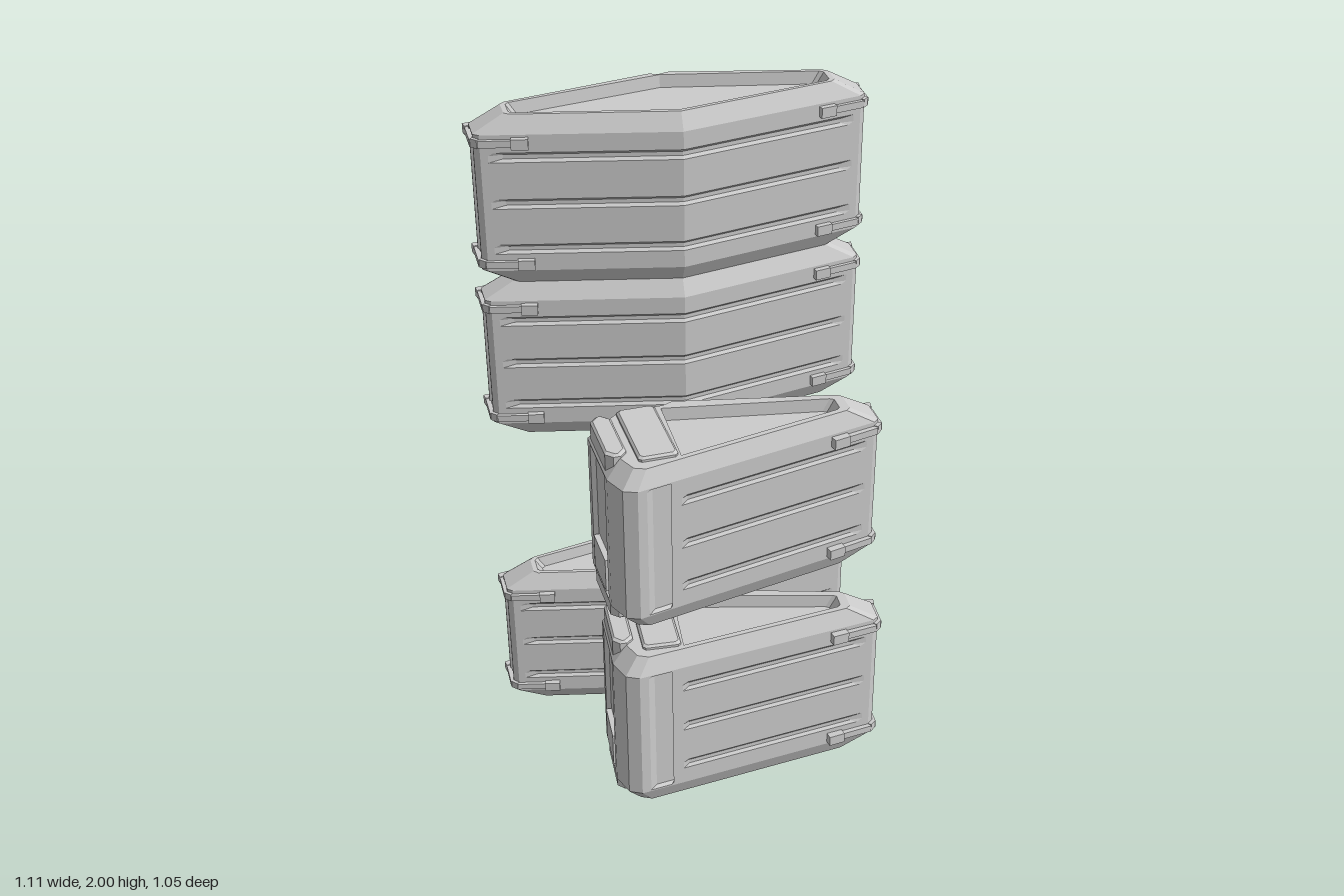
import * as THREE from 'three';

const material = new THREE.MeshStandardMaterial({ color: 0xcccccc, side: THREE.DoubleSide });
const HALF = 0.2475, SHOULDER = 0.2, RECESS = 0.035, CLIP_Y = 0.178;

function mesh(geometry, name) {
  const m = new THREE.Mesh(geometry, material);
  m.name = name;
  return m;
}

// Collects flat-shaded triangles from rings and caps of [x, y, z] points
function builder() {
  const pos = [];
  const tri = (a, b, c, flip) => pos.push(...a, ...(flip ? c : b), ...(flip ? b : c));
  return {
    loft(rings, flip = false) {
      for (let r = 0; r < rings.length - 1; r++) {
        const a = rings[r], b = rings[r + 1];
        a.forEach((p, i) => {
          const j = (i + 1) % a.length;
          tri(p, a[j], b[j], flip);
          tri(p, b[j], b[i], flip);
        });
      }
    },
    cap(ring, hole, flip = false) {
      const flat = (r) => r.map((p) => new THREE.Vector2(p[0], -p[2]));
      const all = hole ? [...ring, ...hole] : ring;
      for (const [i, j, k] of THREE.ShapeUtils.triangulateShape(flat(ring), hole ? [flat(hole)] : [])) {
        tri(all[i], all[j], all[k], flip);
      }
    },
    geometry() {
      const g = new THREE.BufferGeometry();
      g.setAttribute('position', new THREE.Float32BufferAttribute(pos, 3));
      g.computeVertexNormals();
      return g;
    },
  };
}

// Shell with chamfered ends, side grooves, sunk slots and recessed top and bottom.
// Outline points are [x, z, groove weight, slot depth], anticlockwise from above.
function shell(outline, recess, cx) {
  const b = builder();
  const ring = (y, s, g = 0, slot = 0) => outline.map(([x, z, pg = 0, ps = 0]) => {
    const k = s - 0.05 * pg * g - ps * slot;
    return [cx + (x - cx) * k, y, z * k];
  });
  const sides = [ring(-HALF, 0.84), ring(-SHOULDER, 1), ring(-0.196, 1), ring(-0.19, 1, 0, 1)];
  for (const y of [-0.135, 0, 0.135]) {
    for (const [dy, g] of [[-0.014, 0], [-0.006, 1], [0.006, 1], [0.014, 0]]) sides.push(ring(y + dy, 1, g, 1));
  }
  sides.push(ring(0.19, 1, 0, 1), ring(0.196, 1), ring(SHOULDER, 1), ring(HALF, 0.84));
  b.loft(sides);
  for (const s of [1, -1]) {
    const at = (y, k) => recess.map(([x, z]) => [cx + (x - cx) * k, y * s, z * k]);
    const rim = at(HALF, 1), floor = at(HALF - RECESS, 0.95);
    b.cap(ring(HALF * s, 0.84), rim, s < 0);
    b.loft([rim, floor], s < 0);
    b.cap(floor, null, s < 0);
  }
  return mesh(b.geometry(), 'shell');
}

// Straight bar between two [x, z] points
function bar(a, b, y, h, t, name) {
  const dx = b[0] - a[0], dz = b[1] - a[1];
  const m = mesh(new THREE.BoxGeometry(Math.hypot(dx, dz), h, t), name);
  m.position.set((a[0] + b[0]) / 2, y, (a[1] + b[1]) / 2);
  m.rotation.y = -Math.atan2(dz, dx);
  return m;
}

// Latch strap that wraps around a narrow end
function latch(side, y, ox = 0, oz = 0) {
  const g = new THREE.Group();
  g.name = 'latch';
  const p = (x, z) => [side * (x + ox), z + oz];
  g.add(
    bar(p(0.40, 0.081), p(0.445, 0.0716), y, 0.03, 0.022, 'latchBoss'),
    bar(p(0.43, 0.073), p(0.53, 0.052), y, 0.02, 0.014, 'latchStrap'),
    bar(p(0.528, 0.051), p(0.543, 0.036), y, 0.024, 0.014, 'latchCorner'),
    bar(p(0.543, 0.04), p(0.543, -0.045), y, 0.02, 0.014, 'latchEndStrap'),
    bar(p(0.515, -0.056), p(0.552, -0.05), y, 0.026, 0.02, 'latchHook'),
  );
  return g;
}

// Raised pad with clipped corners and bevelled edges
function pad(x0, x1, z0, z1, y0, y1, c, name) {
  const b = builder();
  const ring = (y, i) => {
    const [l, r, k, f] = [x0 + i, x1 - i, z0 + i, z1 - i];
    return [[l + c, y, f], [r - c, y, f], [r, y, f - c], [r, y, k + c], [r - c, y, k], [l + c, y, k], [l, y, k + c], [l, y, f - c]];
  };
  const rings = [ring(y0, 0.006), ring(y0 + 0.006, 0), ring(y1 - 0.006, 0), ring(y1, 0.006)];
  b.loft(rings);
  b.cap(rings[3]);
  b.cap(rings[0], null, true);
  return mesh(b.geometry(), name);
}

const along = (a, b) => (x, g = 0, s = 0) => [x, a[1] + (b[1] - a[1]) * (x - a[0]) / (b[0] - a[0]), g, s];

function diamondCrate() {
  const group = new THREE.Group();
  group.name = 'diamondCrate';
  const front = along([0, 0.16], [0.525, 0.05]), back = along([0.033, -0.157], [0.525, -0.05]);
  const half = [
    front(0.49, 1), front(0.505), [0.525, 0.05], [0.54, 0.036],
    [0.54, 0.03], [0.54, 0.026, 0, 0.015], [0.54, -0.026, 0, 0.015], [0.54, -0.03],
    [0.54, -0.036], [0.525, -0.05], back(0.505), back(0.48, 1),
    back(0.13, 1), back(0.11), [0.033, -0.157],
  ];
  const mirrored = half.map(([x, ...rest]) => [-x, ...rest]).reverse();
  const outline = [[0, 0.16, 1], ...half, [0, -0.147], ...mirrored];
  const recess = [[0, 0.122], [0.43, 0.034], [0.44, 0.024], [0.44, -0.024], [0.43, -0.034],
    [0, -0.118], [-0.43, -0.034], [-0.44, -0.024], [-0.44, 0.024], [-0.43, 0.034]];
  group.add(shell(outline, recess, 0));
  for (const s of [1, -1]) for (const y of [CLIP_Y, -CLIP_Y]) group.add(latch(s, y));
  return group;
}

function wedgeCrate() {
  const group = new THREE.Group();
  group.name = 'wedgeCrate';
  const front = along([-0.34, 0.165], [0.335, 0.035]), back = along([-0.165, -0.172], [0.335, -0.06]);
  const outline = [
    [-0.34, 0.165], front(-0.315), front(-0.31, 0, 0.08), front(-0.255, 0, 0.08), front(-0.25),
    front(-0.22), front(-0.205, 1), front(0.30, 1), front(0.315), [0.335, 0.035], [0.35, 0.022],
    [0.35, 0.016], [0.35, 0.012, 0, 0.015], [0.35, -0.038, 0, 0.015], [0.35, -0.042], [0.35, -0.048],
    [0.335, -0.06], back(0.315), back(0.29, 1), back(-0.07, 1), back(-0.09),
    [-0.165, -0.172], [-0.20, -0.158], [-0.34, -0.16], [-0.40, -0.11],
    [-0.40, -0.085], [-0.40, -0.08, 0, 0.05], [-0.40, 0.06, 0, 0.05], [-0.40, 0.065],
    [-0.40, 0.09], [-0.375, 0.15],
  ];
  const recess = [[-0.21, 0.105], [0.235, 0.018], [0.245, 0.01], [0.245, -0.03], [0.235, -0.037], [-0.2, -0.12]];
  group.add(shell(outline, recess, -0.15));
  for (const y of [CLIP_Y, -CLIP_Y]) group.add(latch(1, y, -0.19, -0.0125));

  // Raised pads on both faces of the wide end
  for (const s of [1, -1]) {
    const [lo, hi] = s > 0 ? [0.23, 0.26] : [-0.26, -0.23];
    group.add(pad(-0.32, -0.217, -0.128, 0.108, lo, hi, 0.008, 'facePad'));
    const [lo2, hi2] = s > 0 ? [0.2, 0.26] : [-0.26, -0.2];
    group.add(pad(-0.395, -0.34, -0.115, 0.075, lo2, hi2, 0.018, 'edgePad'));
  }
  // Plate below the sunk panel of the wide end
  const plate = mesh(new THREE.BoxGeometry(0.02, 0.1, 0.12), 'endPlate');
  plate.position.set(-0.393, -0.13, -0.01);
  group.add(plate);
  return group;
}

export function createModel() {
  const model = new THREE.Group();
  model.name = 'crateStack';

  // Three diamond crates at the back
  for (const y of [HALF, 1.2575, 1.7525]) {
    const crate = diamondCrate();
    crate.position.set(-0.004, y, -0.366);
    crate.rotation.y = -0.043;
    model.add(crate);
  }

  // Two wedge crates at the front, the lower one slightly askew
  const upper = wedgeCrate();
  upper.position.set(0, 1.137, 0.335);
  const lower = wedgeCrate();
  lower.position.set(0.003, 0.535, 0.385);
  lower.rotation.set(-0.04, -0.1, -0.01);
  model.add(upper, lower);
  return model;
}
